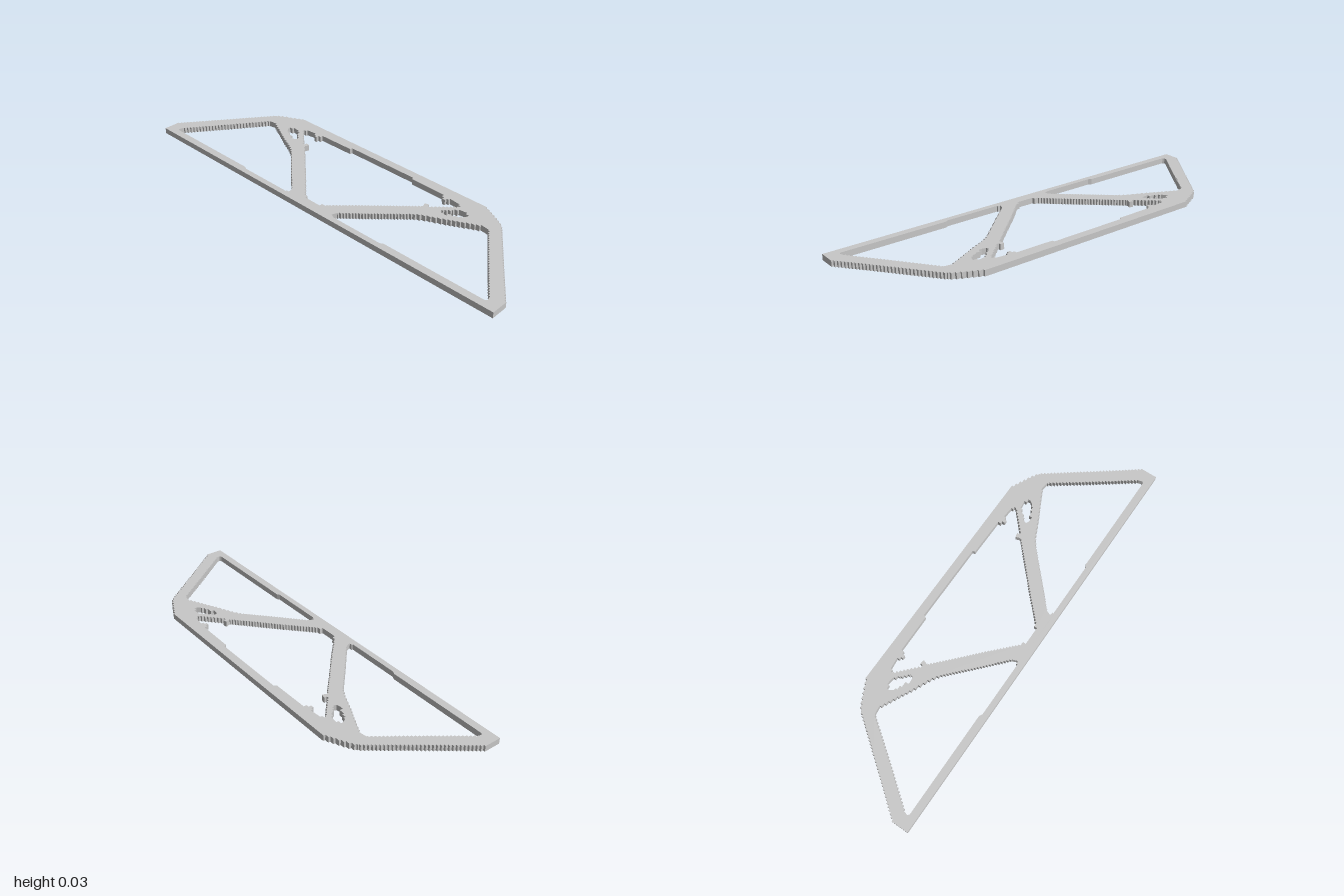
import * as THREE from 'three';

const THICKNESS = 0.028;
const STEP = 0.009;

// Right-half contours as [x, z]
const outerHalf = [[0.565, -0.271], [0.665, -0.222], [0.7, -0.2], [0.87, 0.025], [1, 0.195], [1, 0.27]];
const centreHalf = [
  [0.03, 0.22], [0.06, 0.205], [0.18, 0.09], [0.27, 0.008], [0.37, -0.085],
  [0.362, -0.108], [0.375, -0.112], [0.392, -0.1], [0.44, -0.145], [0.487, -0.188],
  [0.475, -0.206], [0.42, -0.212], [0.408, -0.19], [0.393, -0.19], [0.38, -0.218],
  [0.195, -0.22], [0.19, -0.232],
];
const sideWindow = [
  [0.935, 0.235], [0.43, 0.235], [0.415, 0.243], [0.145, 0.243], [0.132, 0.23], [0.14, 0.21],
  [0.24, 0.12], [0.38, -0.01], [0.415, -0.033], [0.5, -0.072], [0.57, -0.108], [0.645, -0.145],
  [0.68, -0.14], [0.8, 0.025], [0.938, 0.21], [0.943, 0.228],
];
const gussetWindow = [
  [0.557, -0.155], [0.54, -0.177], [0.5, -0.172], [0.485, -0.15], [0.448, -0.118],
  [0.452, -0.104], [0.47, -0.1], [0.505, -0.116], [0.545, -0.136],
];

const toPoints = (list) => list.map(([x, z]) => new THREE.Vector2(x, z));
const mirror = (list) => list.map(([x, z]) => [-x, z]).reverse();

// Turns each sloping edge into small square steps centred on the slope
function stepped(list) {
  const result = [list[0]];
  for (let i = 1; i < list.length; i++) {
    const [x0, z0] = list[i - 1];
    const [x1, z1] = list[i];
    const dx = x1 - x0;
    const dz = z1 - z0;
    const count = Math.floor(Math.min(Math.abs(dx), Math.abs(dz)) / STEP);
    const xFirst = Math.abs(dx) > Math.abs(dz);
    for (let k = 0; k < count; k++) {
      const middle = (k + 0.5) / count;
      for (const t of [k / count, (k + 1) / count]) {
        result.push(xFirst ? [x0 + dx * middle, z0 + dz * t] : [x0 + dx * t, z0 + dz * middle]);
      }
    }
    result.push([x1, z1]);
  }
  return result;
}

export function createModel() {
  const group = new THREE.Group();
  const grey = new THREE.MeshStandardMaterial({ color: 0xc8c8c8 });
  grey.name = 'plain grey';

  // Truss outline, counter-clockwise so that every wall faces outwards
  const outer = stepped(outerHalf);
  const shape = new THREE.Shape(toPoints([...outer, ...mirror(outer)]));

  // Central, side and gusset openings
  const centre = stepped(centreHalf);
  const openings = [[...centre, ...mirror(centre)]];
  for (const opening of [sideWindow, gussetWindow].map(stepped)) openings.push(opening, mirror(opening));
  for (const opening of openings) shape.holes.push(new THREE.Path(toPoints(opening)));

  // Flat plate lying on the ground
  const geometry = new THREE.ExtrudeGeometry(shape, { depth: THICKNESS, bevelEnabled: false });
  geometry.rotateX(Math.PI / 2);
  geometry.translate(0, THICKNESS, 0);

  const truss = new THREE.Mesh(geometry, grey);
  truss.name = 'trussPlate';
  group.add(truss);
  return group;
}
